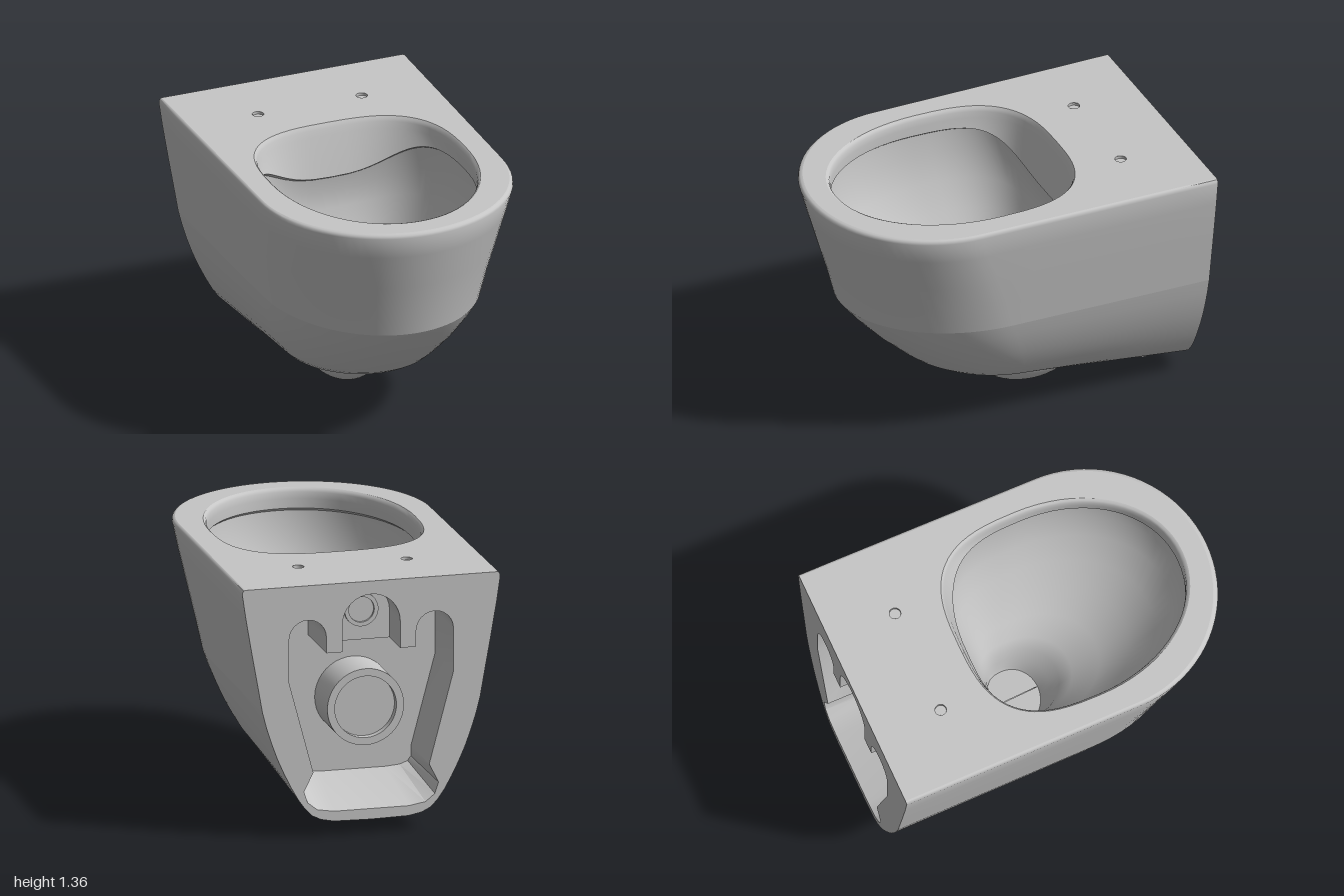
import * as THREE from 'three';
import { toCreasedNormals } from 'three/addons/utils/BufferGeometryUtils.js';

const ceramic = new THREE.MeshStandardMaterial({ color: 0xc6c6c6, side: THREE.DoubleSide });
ceramic.name = 'ceramic';

// Skin between successive cross-sections with equal point counts
function loft(loops, closed, crease) {
  const n = loops[0].length;
  const pos = loops.flat().flatMap((p) => [p.x, p.y, p.z]);
  const idx = [];
  for (let i = 0; i < loops.length - 1; i++) {
    for (let j = 0; j < (closed ? n : n - 1); j++) {
      const k = (j + 1) % n;
      const a = i * n + j, b = i * n + k, c = a + n, d = b + n;
      idx.push(a, b, c, b, d, c);
    }
  }
  const g = new THREE.BufferGeometry();
  g.setAttribute('position', new THREE.Float32BufferAttribute(pos, 3));
  g.setIndex(idx);
  return toCreasedNormals(g, crease);
}

// U-shaped outline: straight sides from the wall, rounded front that
// gets more pointed towards the base
function uLoop([yF, yB, f, w]) {
  const pts = [];
  const d = w * (0.97 + 0.27 * THREE.MathUtils.clamp((1.3 - yF) / 0.6, 0, 1)), z0 = f - d;
  const add = (x, z) => pts.push(new THREE.Vector3(x, yF + (yB - yF) * (f - z) / (f + 1), z));
  const width = (t) => w * (1 - 0.015 * t);
  for (let i = 0; i < 6; i++) add(width(i / 6), -1 + (z0 + 1) * i / 6);
  for (let i = 0; i <= 40; i++) {
    const a = Math.PI * i / 40;
    add(width(1) * Math.cos(a), z0 + d * Math.sin(a));
  }
  for (let i = 5; i >= 0; i--) add(-width(i / 6), -1 + (z0 + 1) * i / 6);
  return pts;
}

const topY = (z) => 1.345 + 0.01 * (0.975 - z) / 1.975;

// Egg-shaped bowl section, squarer at the back; dip lowers the rear centre
function bowlLoop([y, f, b, w, dip = 0]) {
  const pts = [];
  const zc = b + 0.44 * (f - b);
  for (let i = 0; i < 72; i++) {
    const a = Math.PI * 2 * i / 72, s = Math.sin(a), c = Math.cos(a);
    const e = c < 0 ? 2 / 2.9 : 2 / 2.05;
    const x = w * Math.sign(s) * Math.abs(s) ** e;
    const z = zc + (c < 0 ? zc - b : f - zc) * Math.sign(c) * Math.abs(c) ** e;
    pts.push(new THREE.Vector3(x, y - dip * Math.max(0, -c) ** 5, z));
  }
  return pts;
}

// Lathe turned so its axis points to the back
function backLathe(profile) {
  const g = new THREE.LatheGeometry(profile.map(([r, h]) => new THREE.Vector2(r, h)), 40);
  return toCreasedNormals(g.rotateX(-Math.PI / 2), 0.6);
}

export function createModel() {
  const model = new THREE.Group();
  model.name = 'wallHungToilet';
  const add = (name, geometry, x = 0, y = 0, z = 0) => {
    const m = new THREE.Mesh(geometry, ceramic);
    m.name = name;
    m.position.set(x, y, z);
    model.add(m);
    return m;
  };

  // Outer shell: front height, back height, front z, half width
  const shell = [
    [1.345, 1.355, 0.975, 0.675], [1.342, 1.352, 0.987, 0.683], [1.335, 1.343, 0.996, 0.688],
    [1.322, 1.33, 1.0, 0.69], [1.2, 1.2, 0.968, 0.671], [1.0, 1.0, 0.912, 0.637],
    [0.85, 0.85, 0.868, 0.61], [0.69, 0.69, 0.828, 0.582],
    [0.62, 0.605, 0.773, 0.56], [0.55, 0.52, 0.71, 0.533], [0.48, 0.435, 0.645, 0.502],
    [0.415, 0.355, 0.575, 0.467], [0.355, 0.28, 0.51, 0.43], [0.31, 0.21, 0.455, 0.391],
    [0.28, 0.16, 0.405, 0.356], [0.262, 0.12, 0.355, 0.318], [0.252, 0.096, 0.305, 0.27],
    [0.245, 0.082, 0.24, 0.2], [0.232, 0.078, 0.1, 0.001],
  ].map(uLoop);
  add('upperShell', loft(shell.slice(0, 8), false, 0.7));
  add('lowerShell', loft(shell.slice(7), false, 0.7));

  // Bowl: height, front z, back z, half width, rear dip
  const bowl = [
    [1.345, 0.865, -0.402, 0.548], [1.34, 0.852, -0.395, 0.538], [1.325, 0.844, -0.39, 0.532],
    [1.29, 0.84, -0.38, 0.53], [1.24, 0.837, -0.335, 0.528, 0.17],
    [1.225, 0.855, -0.36, 0.548, 0.17],
    [1.1, 0.84, -0.37, 0.538, 0.13], [0.95, 0.775, -0.36, 0.5, 0.07],
    [0.8, 0.67, -0.33, 0.435], [0.65, 0.53, -0.29, 0.36], [0.52, 0.37, -0.255, 0.285],
    [0.43, 0.22, -0.235, 0.22], [0.37, 0.15, -0.22, 0.192], [0.29, 0.1, -0.205, 0.178],
    [0.235, 0.05, -0.2, 0.165], [0.15, 0.015, -0.2, 0.145], [0.12, -0.03, -0.19, 0.12],
    [0.11, -0.1, -0.102, 0.001],
  ].map(bowlLoop);
  bowl[0].forEach((p) => { p.y = topY(p.z); });
  add('bowl', loft(bowl, true, 0.8));

  // Flat top with bowl opening and two seat fixing holes
  const flat = (pts) => pts.map((p) => new THREE.Vector2(p.x, -p.z));
  const top = new THREE.Shape(flat(shell[0]));
  top.holes.push(new THREE.Path(flat(bowl[0])));
  for (const s of [-1, 1]) {
    top.holes.push(new THREE.Path().absarc(s * 0.29, 0.63, 0.03, 0, Math.PI * 2, true));
    add('seatFixingHole', new THREE.CylinderGeometry(0.03, 0.03, 0.02, 24, 1, true), s * 0.29, 1.343, -0.63);
    add('seatFixingFloor', new THREE.CircleGeometry(0.03, 24).rotateX(-Math.PI / 2), s * 0.29, 1.338, -0.63);
  }
  const topGeo = new THREE.ShapeGeometry(top, 24).rotateX(-Math.PI / 2);
  const tp = topGeo.attributes.position;
  for (let i = 0; i < tp.count; i++) tp.setY(i, topY(tp.getZ(i)));
  topGeo.computeVertexNormals();
  add('topDeck', topGeo);

  // Rear cavity outline: flared foot, side arches and a taller middle arch
  const half = [[0.2, 0.135], [0.29, 0.15], [0.34, 0.19], [0.36, 0.25], [0.31, 0.35], [0.44, 0.84]];
  for (let i = 0; i <= 12; i++) {
    const a = Math.PI * i / 12;
    half.push([0.34 + 0.1 * Math.cos(a), 1.07 + 0.1 * Math.sin(a)]);
  }
  half.push([0.24, 0.985], [0.155, 0.985]);
  for (let i = 0; i <= 8; i++) {
    const a = Math.PI / 2 * i / 8;
    half.push([0.155 * Math.cos(a), 1.13 + 0.155 * Math.sin(a)]);
  }
  const outline = [...[...half].reverse(), ...half.slice(0, -1).map(([x, y]) => [-x, y])];
  // The foot narrows and rises towards the inner end
  const inner = outline.map(([x, y]) => (y < 0.34 ? [x * 0.86, 0.25 + (y - 0.135) * 0.4] : [x, y]));
  const at = (pts, z) => pts.map(([x, y]) => new THREE.Vector3(x, y, z));
  add('rearCavityWalls', loft([at(outline, -1), at(inner, -0.64)], true, 0.5));
  const flip = (pts) => pts.map(([x, y]) => new THREE.Vector2(-x, y));
  add('rearCavityEnd', new THREE.ShapeGeometry(new THREE.Shape(flip(inner))).rotateY(Math.PI), 0, 0, -0.64);

  // Shallower end of the middle arch, carrying the flush inlet
  add('middleArchEnd', new THREE.BoxGeometry(0.31, 0.3, 0.15), 0, 1.135, -0.715);
  add('flushInlet', backLathe([[0.09, 0], [0.09, 0.02], [0.068, 0.02], [0.068, 0.005], [0, 0.005]]), 0, 1.15, -0.79);

  // Back face against the wall
  const edge = shell.map((l) => [l[0].x, l[0].y]);
  const back = new THREE.Shape(flip([...edge, ...[...edge].reverse().map(([x, y]) => [-x, y])]));
  back.holes.push(new THREE.Path(flip(outline)));
  add('backFace', new THREE.ShapeGeometry(back).rotateY(Math.PI), 0, 0, -1);

  // Waste outlet
  add('wasteOutlet', backLathe([[0.205, 0], [0.205, 0.25], [0.165, 0.25], [0.165, 0.21], [0, 0.21]]), 0, 0.65, -0.64);

  // Trap bulge under the body
  const trap = new THREE.SphereGeometry(1, 40, 16, 0, Math.PI * 2, Math.PI / 2, Math.PI / 2);
  add('trapBulge', trap.scale(0.2, 0.215, 0.31), 0, 0.215, -0.225);

  // Underside plugs, lying along the sloping base
  for (const s of [-1, 1]) {
    const plug = add('undersidePlug', new THREE.CylinderGeometry(0.075, 0.075, 0.009, 28), s * 0.185, 0.109, -0.77);
    plug.rotation.x = -0.125;
  }
  return model;
}
